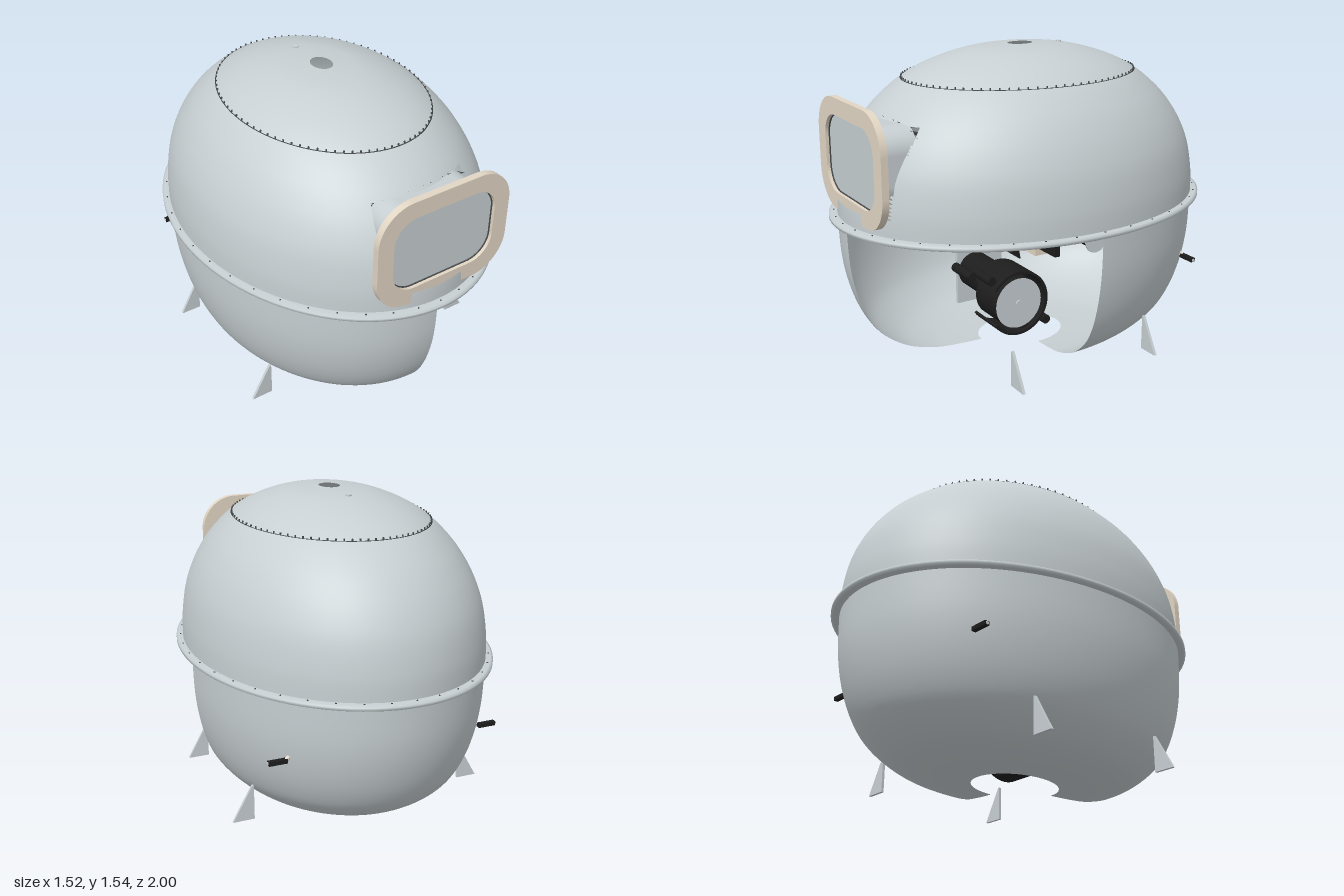
import * as THREE from 'three';
import { mergeGeometries } from 'three/addons/utils/BufferGeometryUtils.js';

const STRETCH = 1.31; // the hull is an ellipse in plan: z radius / x radius

export function createModel() {
  const group = new THREE.Group();
  const material = (name, color, side = THREE.FrontSide) => {
    const m = new THREE.MeshStandardMaterial({ color, side });
    m.name = name;
    return m;
  };
  const grey = material('hull grey', 0xc7cfd2, THREE.DoubleSide);
  const tan = material('tan', 0xe2d6c4);
  const black = material('black', 0x1d1d1d, THREE.DoubleSide);
  const dark = material('dark grey', 0x4a4e50);

  const add = (name, geometry, mat, x = 0, y = 0, z = 0) => {
    const mesh = new THREE.Mesh(geometry, mat);
    mesh.name = name;
    mesh.position.set(x, y, z);
    group.add(mesh);
    return mesh;
  };
  const v2 = (pairs) => pairs.map(([x, y]) => new THREE.Vector2(x, y));
  const ovalLathe = (points, segments, start = 0, length = Math.PI * 2) => {
    const g = new THREE.LatheGeometry(points, segments, start, length);
    return g.scale(1, 1, STRETCH);
  };
  const rod = (r, length, sides = 20) =>
    new THREE.CylinderGeometry(r, r, length, sides).rotateZ(-Math.PI / 2);
  // Small studs spaced around an oval
  const studs = (name, count, r, y, size, height) => {
    const parts = [];
    for (let i = 0; i < count; i++) {
      const a = (i / count) * Math.PI * 2;
      parts.push(new THREE.CylinderGeometry(size, size, height, 6)
        .translate(r * Math.sin(a), y, r * STRETCH * Math.cos(a)));
    }
    add(name, mergeGeometries(parts), dark);
  };
  // Rounded rectangle outline
  const roundRect = (Type, x0, x1, y0, y1, r) => {
    const s = new Type();
    s.moveTo(x0 + r, y0);
    s.lineTo(x1 - r, y0);
    s.absarc(x1 - r, y0 + r, r, -Math.PI / 2, 0, false);
    s.lineTo(x1, y1 - r);
    s.absarc(x1 - r, y1 - r, r, 0, Math.PI / 2, false);
    s.lineTo(x0 + r, y1);
    s.absarc(x0 + r, y1 - r, r, Math.PI / 2, Math.PI, false);
    s.lineTo(x0, y0 + r);
    s.absarc(x0 + r, y0 + r, r, Math.PI, Math.PI * 1.5, false);
    return s;
  };
  const extrude = (shape, depth) => new THREE.ExtrudeGeometry(shape,
    { depth, bevelEnabled: false, curveSegments: 14 });

  // Lower hull, one quarter left open, with a hole in the floor
  const lowerProfile = new THREE.SplineCurve(v2([[0.18, 0], [0.29, 0.006], [0.385, 0.02],
    [0.5, 0.066], [0.6, 0.155], [0.657, 0.255], [0.698, 0.39], [0.722, 0.55], [0.729, 0.75]])).getPoints(40);
  add('lowerHull', ovalLathe(lowerProfile, 84, Math.PI / 2, Math.PI * 1.5), grey);

  // Upper hull with a vent hole on top and a ragged opening for the window
  const upperProfile = new THREE.SplineCurve(v2([[0.73, 0.75], [0.727, 0.87], [0.709, 1.0],
    [0.68, 1.1], [0.634, 1.2], [0.567, 1.3], [0.468, 1.4], [0.35, 1.472], [0.2, 1.524],
    [0.05, 1.54]])).getPoints(64);
  const dome = ovalLathe(upperProfile, 128);
  const pos = dome.attributes.position;
  const index = dome.index.array;
  const kept = [];
  for (let i = 0; i < index.length; i += 3) {
    const tri = [index[i], index[i + 1], index[i + 2]];
    const mid = (get) => (get(tri[0]) + get(tri[1]) + get(tri[2])) / 3;
    const x = mid((k) => pos.getX(k)), y = mid((k) => pos.getY(k)), z = mid((k) => pos.getZ(k));
    const inWindow = z > 0 && Math.abs(x - 0.027) < 0.268 && y > 0.855 && y < 1.25;
    if (!inWindow) kept.push(...tri);
  }
  dome.setIndex(kept);
  add('upperHull', dome, grey);

  // Flange around the middle with its rivets
  add('flange', ovalLathe(v2([[0.715, 0.74], [0.752, 0.74], [0.762, 0.746], [0.762, 0.76],
    [0.752, 0.767], [0.72, 0.767]]), 96), grey);
  studs('flangeRivets', 40, 0.742, 0.767, 0.004, 0.006);

  // Seam and studs around the top cap, and a small plug
  add('capSeam', ovalLathe(v2([[0.468, 1.396], [0.472, 1.398], [0.468, 1.4]]), 96), dark);
  studs('capStuds', 84, 0.467, 1.404, 0.004, 0.011);
  add('plug', new THREE.CylinderGeometry(0.014, 0.014, 0.012, 16), grey, 0, 1.528, -0.23);

  // Window box, gasket, frame and the shards above the box
  const frame = roundRect(THREE.Shape, -0.336, 0.386, 0.795, 1.342, 0.18);
  frame.holes.push(roundRect(THREE.Path, -0.253, 0.304, 0.878, 1.259, 0.12));
  add('windowFrame', extrude(frame, 0.034), tan, 0, 0, 0.903);
  const gasket = roundRect(THREE.Shape, -0.253, 0.304, 0.878, 1.259, 0.12);
  gasket.holes.push(roundRect(THREE.Path, -0.249, 0.3, 0.882, 1.255, 0.117));
  add('windowGasket', extrude(gasket, 0.006), dark, 0, 0, 0.915);
  add('windowBox', extrude(roundRect(THREE.Shape, -0.25, 0.302, 0.882, 1.258, 0.118), 0.195), grey, 0, 0, 0.72);
  for (let i = 0; i < 15; i++) {
    const t = i / 14;
    const shard = add('shard', new THREE.ConeGeometry(0.012, 0.045 + 0.012 * (i % 3), 3), i < 6 ? grey : dark,
      -0.25 + 0.54 * t, 1.258 - 0.06 * Math.pow(2 * t - 1, 4), 0.75 - 0.05 * Math.pow(2 * t - 1, 2));
    shard.rotation.set(1.1, 0, 0.5 - t);
  }

  // Four triangular feet
  const fin = new THREE.Shape(v2([[0.56, 0.02], [0.668, 0.02], [0.568, 0.198], [0.56, 0.198]]));
  for (const z of [-0.388, 0.388]) {
    for (const turn of [0, Math.PI]) {
      const foot = add('foot', extrude(fin, 0.014).translate(0, 0, -0.007), grey, 0, 0, z);
      foot.rotation.y = turn;
    }
  }

  // Side pegs
  for (const side of [-1, 1]) {
    add('sidePeg', new THREE.BoxGeometry(0.09, 0.02, 0.024), black, side * 0.54, 0.446, -0.68);
    add('pegTip', rod(0.008, 0.004, 12), grey, side * 0.586, 0.446, -0.68);
  }

  // Tan pipe ring under the flange, and a pipe dropping to the peg
  const ring = [];
  for (let i = 0; i < 40; i++) {
    const a = (i / 40) * Math.PI * 2;
    ring.push(new THREE.Vector3(0.67 * Math.sin(a), 0.719, 0.885 * Math.cos(a)));
  }
  add('pipeRing', new THREE.TubeGeometry(new THREE.CatmullRomCurve3(ring, true), 96, 0.011, 8, true), tan);
  const drop = [[0.45, 0.719, -0.58], [0.462, 0.64, -0.61], [0.476, 0.55, -0.64], [0.477, 0.47, -0.67], [0.5, 0.446, -0.68]];
  add('dropPipe', new THREE.TubeGeometry(
    new THREE.CatmullRomCurve3(drop.map((p) => new THREE.Vector3(...p))), 24, 0.011, 8), tan);

  // Mounting plate behind the drum
  add('mountPlate', new THREE.BoxGeometry(0.02, 0.56, 0.27), grey, -0.2, 0.42, 0.135);

  // Drum with an open black band wrapped around it
  add('drum', rod(0.13, 0.2, 40), [black, grey, grey], 0.197, 0.3, 0.19);
  add('drumHub', rod(0.016, 0.008), grey, 0.3, 0.3, 0.19);
  const band = new THREE.Shape();
  band.absarc(0, 0, 0.167, -2.55, 2.55, false);
  band.absarc(0, 0, 0.154, 2.55, -2.55, true);
  const bandGeometry = new THREE.ExtrudeGeometry(band, { depth: 0.21, bevelEnabled: false, curveSegments: 40 });
  add('drumBand', bandGeometry.translate(0, 0, -0.105).rotateY(Math.PI / 2), black, 0.198, 0.3, 0.19);
  add('motor', rod(0.094, 0.24, 32), black, -0.03, 0.335, 0.19);

  // Rollers on the drive, listed as z, y
  const rollers = [[0.48, 0.665], [0.385, 0.625], [0.31, 0.67], [0.21, 0.625], [0.08, 0.625],
    [0.44, 0.48], [0.33, 0.435], [0.015, 0.165], [0.14, 0.155]];
  for (const [z, y] of rollers) add('roller', rod(0.023, 0.17), black, 0.195, y, z);

  // Guide strip, feed column, pan and beam
  const strip = [[0.3, 0.69], [0.24, 0.66], [0.2, 0.61], [0.18, 0.53]];
  const curve = new THREE.SplineCurve(v2(strip)).getPoints(12);
  const back = curve.map((p) => new THREE.Vector2(p.x - 0.012, p.y - 0.006)).reverse();
  const stripGeometry = extrude(new THREE.Shape([...curve, ...back]), 0.16);
  add('guideStrip', stripGeometry.translate(0, 0, -0.08).rotateY(-Math.PI / 2), black, 0.2, 0, 0);
  add('feedColumn', new THREE.BoxGeometry(0.16, 0.22, 0.03), black, 0.2, 0.6, -0.05);
  add('topRail', new THREE.BoxGeometry(0.17, 0.006, 0.28), black, 0.2, 0.695, 0.15);
  add('pan', new THREE.BoxGeometry(0.34, 0.035, 0.2), black, -0.04, 0.532, -0.12);
  add('panLip', new THREE.BoxGeometry(0.24, 0.004, 0.09), black, -0.02, 0.532, 0.025);
  add('beam', new THREE.BoxGeometry(0.34, 0.06, 0.08), tan, -0.05, 0.48, -0.06);

  // Small spool hung beside the drive
  add('spool', rod(0.048, 0.16, 24), black, 0.447, 0.65, -0.1);
  for (const x of [0.362, 0.532]) add('spoolFlange', rod(0.06, 0.006, 24), grey, x, 0.645, -0.1);

  return group;
}
